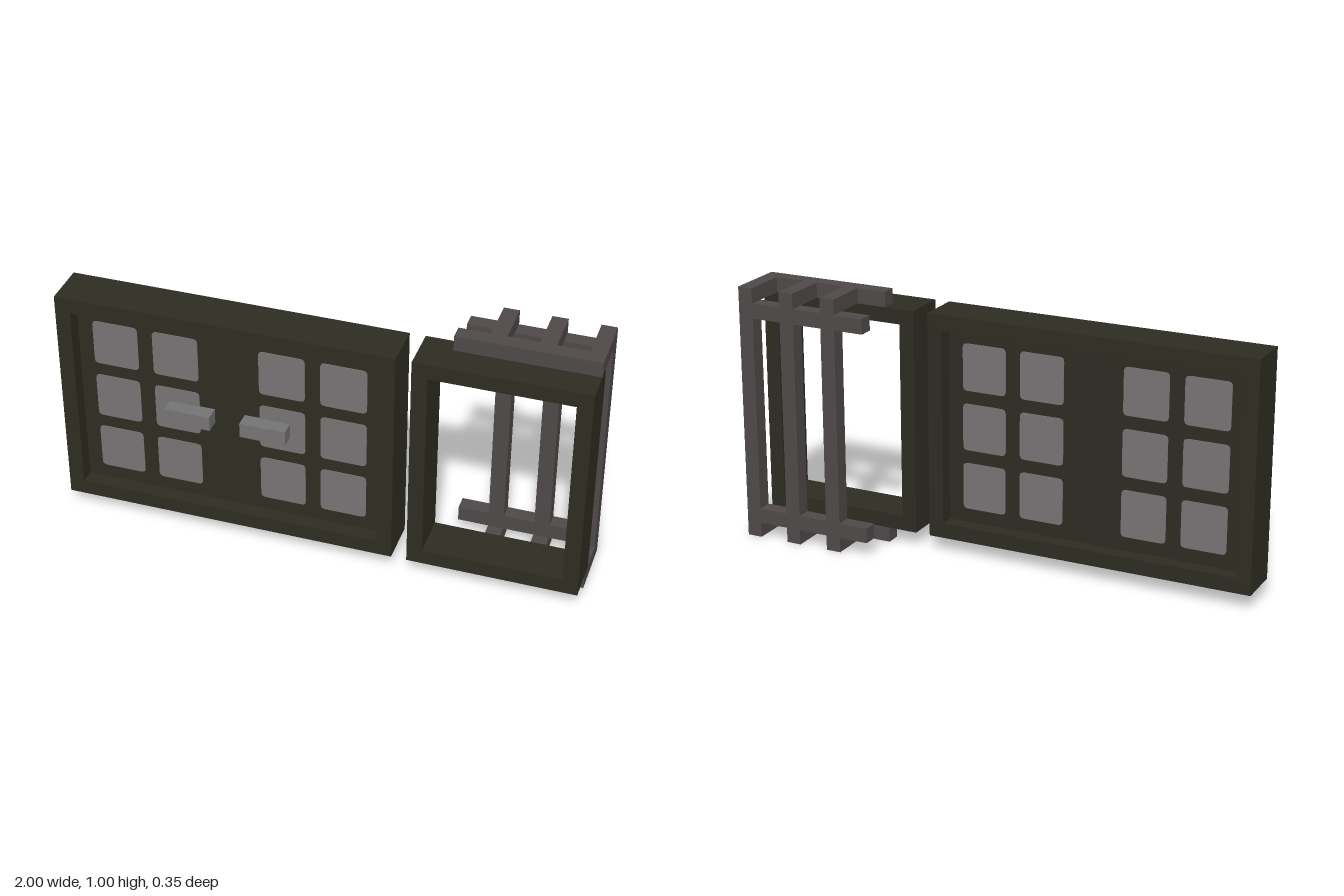
import * as THREE from 'three';

const U = 1 / 17; // bar thickness

export function createModel() {
  const model = new THREE.Group();
  const darkWood = new THREE.MeshStandardMaterial({ color: 0x2d2c22 });
  const iron = new THREE.MeshStandardMaterial({ color: 0x4e4948 });
  const glass = new THREE.MeshStandardMaterial({ color: 0x757373 });

  function add(parent, name, geometry, material) {
    const mesh = new THREE.Mesh(geometry, material);
    mesh.name = name;
    parent.add(mesh);
    return mesh;
  }

  // box given by its lower and upper corners
  function box(parent, name, material, [x0, y0, z0], [x1, y1, z1]) {
    const g = new THREE.BoxGeometry(x1 - x0, y1 - y0, z1 - z0);
    g.translate((x0 + x1) / 2, (y0 + y1) / 2, (z0 + z1) / 2);
    return add(parent, name, g, material);
  }

  function rect(path, x0, y0, x1, y1) {
    path.moveTo(x0, y0);
    path.lineTo(x1, y0);
    path.lineTo(x1, y1);
    path.lineTo(x0, y1);
    path.closePath();
    return path;
  }

  // rectangular frame with an open middle
  function frame(parent, name, x0, x1) {
    const shape = rect(new THREE.Shape(), x0, U, x1, 1 - U);
    shape.holes.push(rect(new THREE.Path(), x0 + U, 2 * U, x1 - U, 1 - 2 * U));
    add(parent, name, new THREE.ExtrudeGeometry(shape, { depth: 3 * U, bevelEnabled: false }), darkWood);
  }

  // wide window: frame, recessed panel, panes on both faces
  const wide = new THREE.Group();
  wide.name = 'panelledWindow';
  model.add(wide);
  frame(wide, 'wideFrame', -1, 5 * U);
  box(wide, 'panel', darkWood, [-1 + U, 2 * U, U], [4 * U, 1 - 2 * U, 2 * U]);

  const w = 1.5 * U, h = 0.092, r = 0.018;
  const pane = new THREE.Shape();
  pane.moveTo(-w + r, -h);
  pane.lineTo(w - r, -h);
  pane.quadraticCurveTo(w, -h, w, -h + r);
  pane.lineTo(w, h - r);
  pane.quadraticCurveTo(w, h, w - r, h);
  pane.lineTo(-w + r, h);
  pane.quadraticCurveTo(-w, h, -w, h - r);
  pane.lineTo(-w, -h + r);
  pane.quadraticCurveTo(-w, -h, -w + r, -h);
  const paneGeometry = new THREE.ExtrudeGeometry(pane, { depth: 0.003, bevelEnabled: false, curveSegments: 4 });
  for (const column of [-13.5, -9.5, -2.5, 1.5]) {
    for (const row of [4.5, 8.5, 12.5]) {
      for (const z of [2 * U, U - 0.003]) {
        add(wide, 'pane', paneGeometry, glass).position.set(column * U, row * U, z);
      }
    }
  }

  // handles on the front face
  for (const x of [-10, -5]) {
    box(wide, 'handle', glass, [x * U, 0.474, 2 * U], [(x + 3) * U, 0.474 + U, 3 * U]);
  }

  // narrow open window
  const narrow = new THREE.Group();
  narrow.name = 'barredWindow';
  model.add(narrow);
  frame(narrow, 'narrowFrame', 6 * U, 1);

  // grille: rails along the frame, rails behind, and three bent bars
  for (const [front, back] of [[0, U], [1 - U, 1 - 2 * U]]) {
    box(narrow, 'frontRail', iron, [8 * U, front, 0], [1, front + U, U]);
    box(narrow, 'backRail', iron, [8 * U, back, -3 * U], [1, back + U, -2 * U]);
  }
  for (const x of [10, 13, 16]) {
    box(narrow, 'uprightBar', iron, [x * U, 0, -3 * U], [(x + 1) * U, 1, -2 * U]);
    for (const y of [0, 1 - U]) {
      box(narrow, 'crossBar', iron, [x * U, y, -2 * U], [(x + 1) * U, y + U, 0]);
    }
  }
  return model;
}
